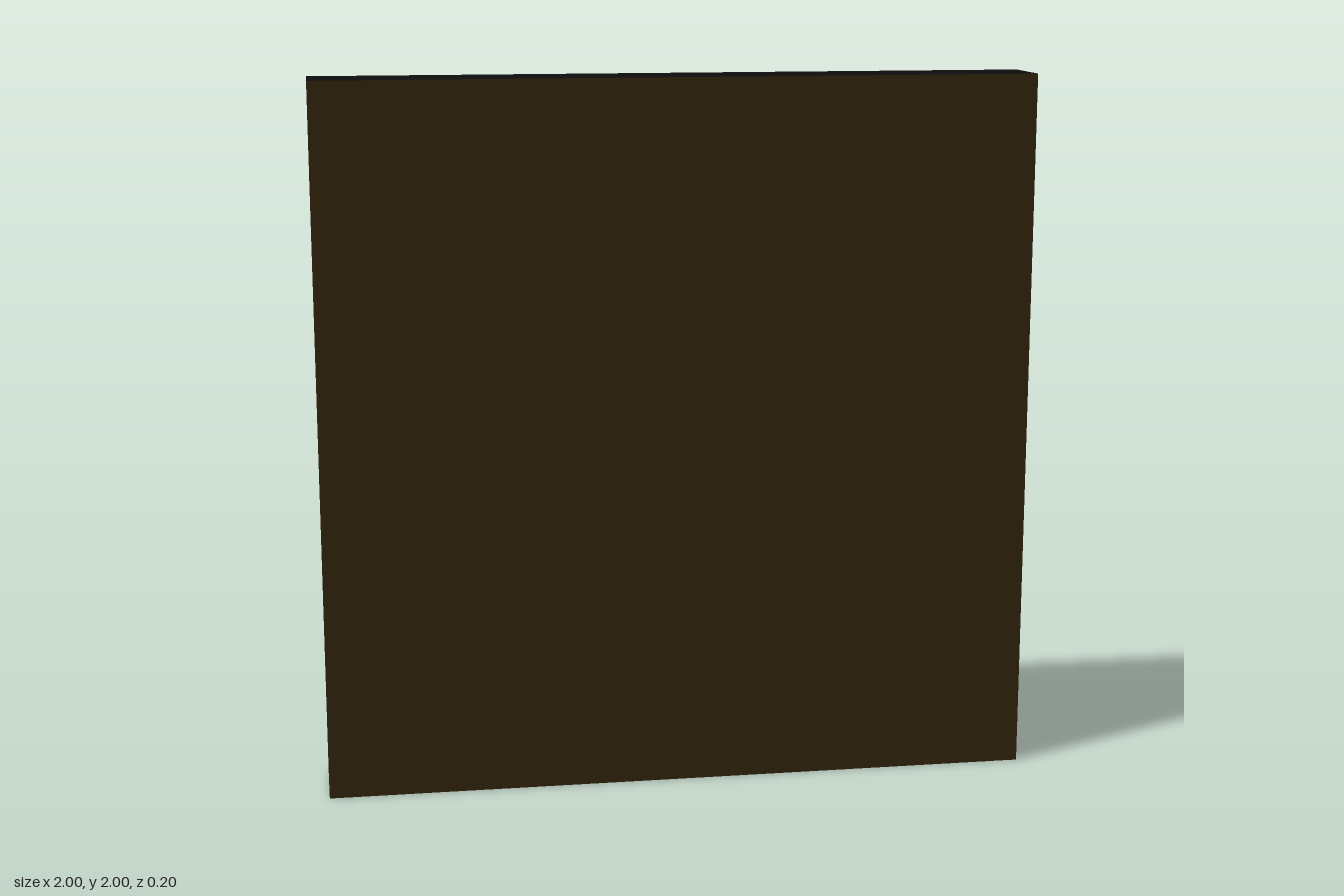
import * as THREE from 'three';

const mat = (name, color) => {
  const m = new THREE.MeshStandardMaterial({ color });
  m.name = name;
  return m;
};

export function createModel() {
  const dark = mat('dark brown', 0x35270f);
  const black = mat('black', 0x0d0d0d);
  const wood = mat('timber', 0x8a5f3f);
  const panelWood = mat('panel wood', 0x765439);
  const plaster = mat('plaster', 0x9e7d50);
  const glass = mat('glass', 0x8b9ba3);

  const model = new THREE.Group();
  const add = (parent, name, geo, m, x, y, z) => {
    const mesh = new THREE.Mesh(geo, m);
    mesh.name = name;
    mesh.position.set(x, y, z);
    parent.add(mesh);
    return mesh;
  };
  const box = (parent, name, m, x0, x1, y0, y1, z0, z1) =>
    add(parent, name, new THREE.BoxGeometry(x1 - x0, y1 - y0, z1 - z0), m,
      (x0 + x1) / 2, (y0 + y1) / 2, (z0 + z1) / 2);

  // Plain slab and thin edge boards around the timbered face
  const E = 0.004;
  box(model, 'wallSlab', [dark, dark, black, dark, dark, dark], -1, 1, 0, 2, -0.045, 0.1);
  for (const s of [-1, 1])
    box(model, 'sideBoard', dark, s > 0 ? 1 - E : -1, s > 0 ? 1 : -1 + E, 0, 2, -0.099, -0.045);
  box(model, 'topBoard', black, -1, 1, 2 - E, 2, -0.099, -0.045);
  box(model, 'bottomBoard', dark, -1, 1, 0, E, -0.099, -0.045);

  // Timbered face, built facing +z and turned to the back
  const face = new THREE.Group();
  face.name = 'timberedFace';
  face.rotation.y = Math.PI;
  model.add(face);

  // Frame with four openings
  const rect = (C, x0, x1, y0, y1) => {
    const r = new C();
    r.moveTo(x0, y0).lineTo(x1, y0).lineTo(x1, y1).lineTo(x0, y1).closePath();
    return r;
  };
  const frame = rect(THREE.Shape, -1 + E, 1 - E, E, 2 - E);
  for (const x of [-1, 0]) {
    frame.holes.push(rect(THREE.Path, x + 0.045, x + 0.95, 0.107, 0.637));
    frame.holes.push(rect(THREE.Path, x + 0.045, x + 0.95, 0.71, 1.9));
  }
  add(face, 'timberFrame',
    new THREE.ExtrudeGeometry(frame, { depth: 0.055, bevelEnabled: false }), wood, 0, 0, 0.045);

  // Window pane with clipped corners
  const paneGeometry = (w, h) => {
    const c = 0.012, a = w / 2, b = h / 2;
    const s = new THREE.Shape([
      [-a + c, -b], [a - c, -b], [a, -b + c], [a, b - c],
      [a - c, b], [-a + c, b], [-a, b - c], [-a, -b + c],
    ].map(p => new THREE.Vector2(...p)));
    return new THREE.ExtrudeGeometry(s, { depth: 0.004, bevelEnabled: false });
  };

  // Sloping strut between two points
  const strut = (parent, x0, y0, x1, y1, z) => {
    const len = Math.hypot(x1 - x0, y1 - y0);
    const b = add(parent, 'brace', new THREE.BoxGeometry(len, 0.035, 0.03), wood,
      (x0 + x1) / 2, (y0 + y1) / 2, z);
    b.rotation.z = Math.atan2(y1 - y0, x1 - x0);
  };

  for (const [i, x] of [-1, 0].entries()) {
    const bay = new THREE.Group();
    bay.name = i ? 'rightBay' : 'leftBay';
    bay.position.x = x;
    face.add(bay);

    box(bay, 'lowerPanel', panelWood, 0.045, 0.95, 0.107, 0.637, 0.044, 0.05);
    box(bay, 'plasterPanel', plaster, 0.5, 0.95, 0.71, 1.9, 0.044, 0.05);

    // Window: timber lattice behind two columns of six panes
    box(bay, 'windowLattice', wood, 0.045, 0.5, 0.71, 1.9, 0.044, 0.048);
    const pitch = 0.193, pane = paneGeometry(0.158, pitch - 0.024);
    for (let r = 0; r < 6; r++)
      for (const px of [0.153, 0.332])
        add(bay, 'windowPane', pane, glass, px, 0.713 + pitch * (r + 0.5), 0.047);
    box(bay, 'windowLatch', black, 0.235, 0.25, 1.25, 1.28, 0.048, 0.06);

    // Round post between the window and the plaster
    add(bay, 'roundPost', new THREE.CylinderGeometry(0.045, 0.045, 1.19, 20), wood, 0.5, 1.305, 0.052);

    // Gable of paired struts with boarded corners
    for (const s of [-1, 1]) {
      const X = d => 0.7475 + s * d;
      const pts = [[0.07, 1.9], [0.2025, 1.9], [0.2025, 1.73]].map(p => new THREE.Vector2(X(p[0]), p[1]));
      add(bay, 'cornerBoard',
        new THREE.ExtrudeGeometry(new THREE.Shape(pts), { depth: 0.006, bevelEnabled: false }),
        panelWood, 0, 0, 0.048);
      strut(bay, X(0.2), 1.715, X(0.05), 1.89, 0.062);
      strut(bay, X(0.2), 1.785, X(0.11), 1.89, 0.062);
    }
  }
  return model;
}
